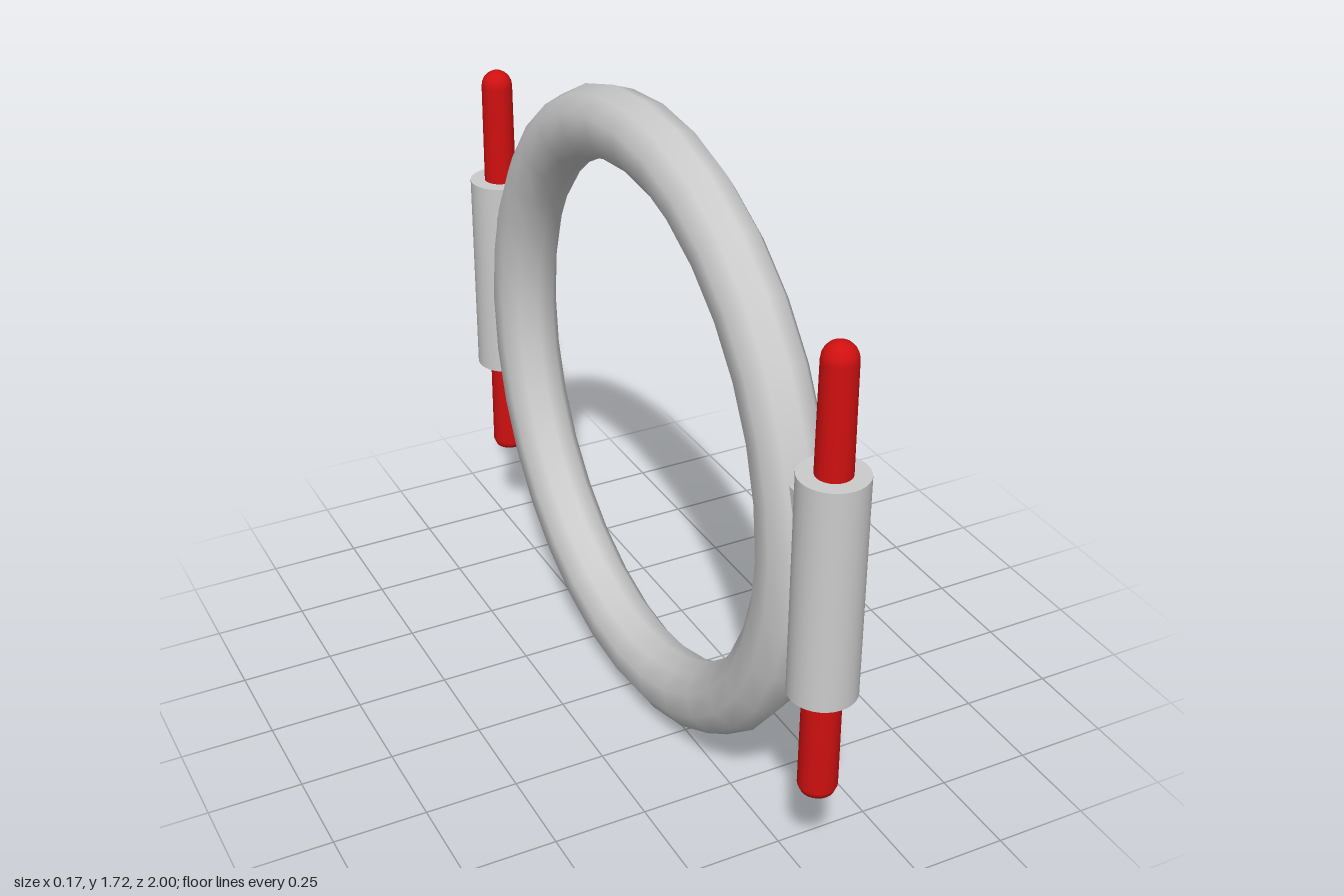
import * as THREE from 'three';

export function createModel() {
  const model = new THREE.Group();
  const grey = new THREE.MeshStandardMaterial({ color: 0xcccccc });
  const red = new THREE.MeshStandardMaterial({ color: 0xd01010 });

  const add = (parent, name, geometry, material, x, y, z) => {
    const mesh = new THREE.Mesh(geometry, material);
    mesh.name = name;
    mesh.position.set(x, y, z);
    parent.add(mesh);
    return mesh;
  };

  // Upright ring in the y-z plane, slightly narrower across its thickness
  const ringGeometry = new THREE.TorusGeometry(0.762, 0.096, 10, 32);
  ringGeometry.scale(1, 1, 0.92);
  ringGeometry.rotateY(Math.PI / 2);
  add(model, 'ring', ringGeometry, grey, 0, 0.863, 0);

  // Slightly tapered pin: domed top, softly rounded foot
  const profile = [
    [0, 0.292], [0.025, 0.294], [0.042, 0.303], [0.049, 0.32], [0.048, 0.59], [0.043, 1.455],
  ];
  for (let i = 1; i <= 5; i++) {
    const a = (i / 5) * Math.PI / 2;
    profile.push([i === 5 ? 0 : 0.043 * Math.cos(a), 1.455 + 0.045 * Math.sin(a)]);
  }
  const pinGeometry = new THREE.LatheGeometry(profile.map(([r, y]) => new THREE.Vector2(r, y)), 24);
  const sleeveGeometry = new THREE.CylinderGeometry(0.085, 0.085, 0.585, 32);
  const bracketGeometry = new THREE.BoxGeometry(0.09, 0.39, 0.11);

  // Sleeve, pin and joining bracket on the front and back of the ring
  for (const side of [1, -1]) {
    const hinge = new THREE.Group();
    hinge.name = side > 0 ? 'frontHinge' : 'backHinge';
    add(hinge, 'sleeve', sleeveGeometry, grey, 0, 0.8825, side * 0.915);
    add(hinge, 'pin', pinGeometry, red, 0, 0, side * 0.915);
    add(hinge, 'bracket', bracketGeometry, grey, 0, 0.9, side * 0.8);
    model.add(hinge);
  }
  return model;
}
